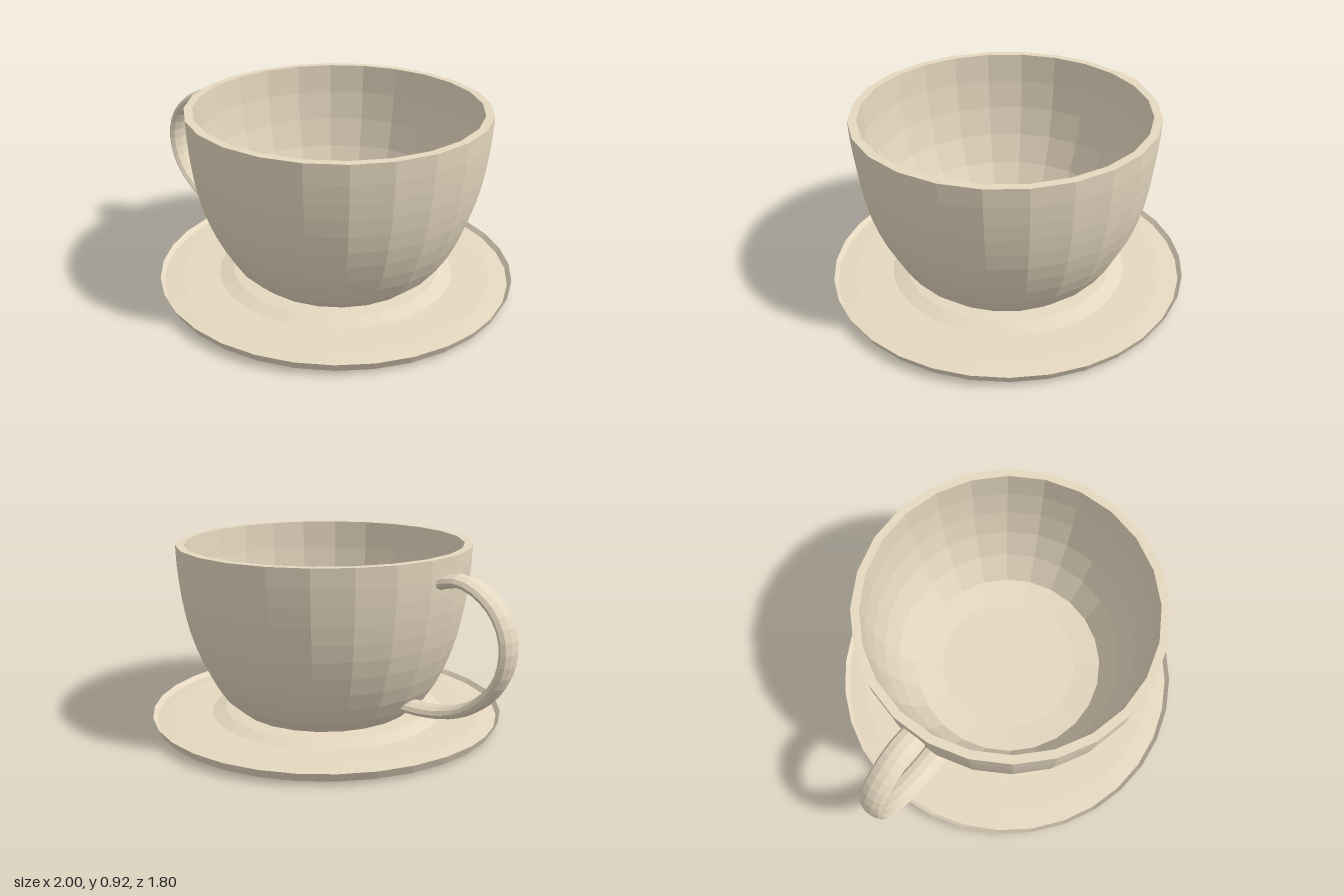
import * as THREE from 'three';

const china = new THREE.MeshStandardMaterial({ color: 0xe6d8c0, flatShading: true });

function addMesh(parent, name, geometry) {
  const mesh = new THREE.Mesh(geometry, china);
  mesh.name = name;
  parent.add(mesh);
  return mesh;
}

// Turns a profile of [radius, height] pairs around the y axis
function turned(profile, sides) {
  return new THREE.LatheGeometry(profile.map(([r, y]) => new THREE.Vector2(r, y)), sides);
}

export function createModel() {
  const group = new THREE.Group();
  group.name = 'cupAndSaucer';

  // Saucer: flat base, thin raised lip, low step under the cup
  const saucer = addMesh(group, 'saucer', turned([
    [0, 0], [0.78, 0], [0.88, 0.015], [0.9, 0.058],
    [0.88, 0.035], [0.79, 0.042], [0.6, 0.042], [0.53, 0.064], [0.44, 0.07], [0, 0.07],
  ], 32));
  saucer.position.x = 0.1;

  // Cup: outer wall upward, flat rim, inner wall down to the floor
  const cup = addMesh(group, 'cup', turned([
    [0, 0.068], [0.45, 0.068], [0.53, 0.14], [0.585, 0.225], [0.627, 0.31], [0.662, 0.4],
    [0.688, 0.485], [0.707, 0.57], [0.721, 0.655], [0.731, 0.74], [0.738, 0.825], [0.741, 0.92],
    [0.7, 0.92], [0.692, 0.77], [0.672, 0.62], [0.637, 0.47], [0.58, 0.32], [0.495, 0.17],
    [0.36, 0.155], [0, 0.15],
  ], 24));
  cup.position.x = 0.11;
  cup.rotation.y = Math.PI / 24; // flats face the four axes

  // Handle: a looped strap of oval section, with its ends buried in the cup wall
  const path = new THREE.CatmullRomCurve3([
    [-0.6, 0.8], [-0.7, 0.825], [-0.8, 0.8], [-0.9, 0.725], [-0.955, 0.63], [-0.969, 0.53],
    [-0.945, 0.42], [-0.88, 0.32], [-0.78, 0.24], [-0.65, 0.19], [-0.52, 0.173], [-0.41, 0.172],
  ].map(([x, y]) => new THREE.Vector3(x, y, 0)));
  const strap = new THREE.TubeGeometry(path, 24, 0.031, 10, false);
  strap.scale(1, 1, 2.15);
  addMesh(group, 'handle', strap);

  return group;
}
